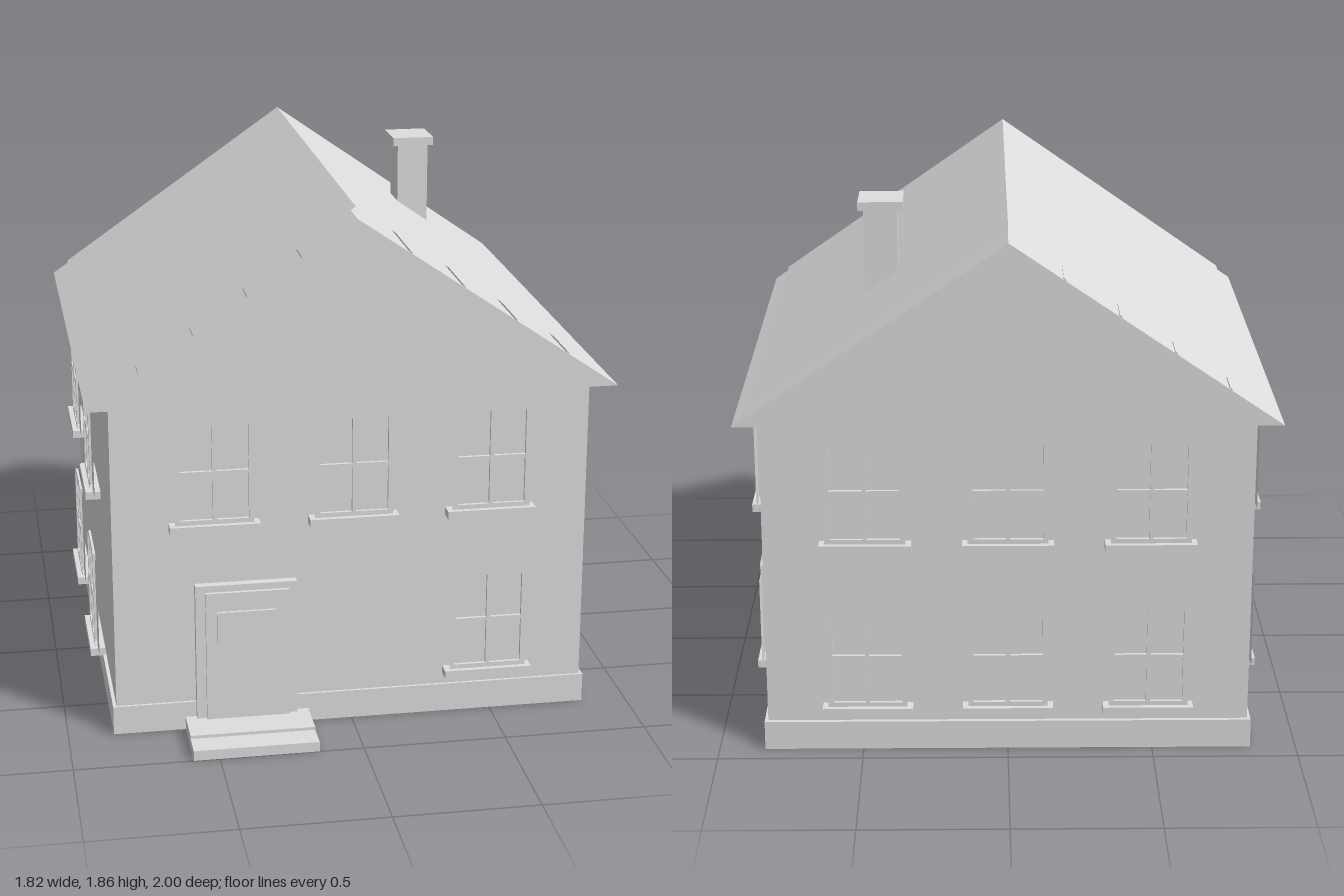
import * as THREE from 'three';

const plaster = new THREE.MeshStandardMaterial({ color: 0xdedede, side: THREE.DoubleSide });
plaster.name = 'plainGrey';

function add(parent, name, geometry) {
  const mesh = new THREE.Mesh(geometry, plaster);
  mesh.name = name;
  parent.add(mesh);
  return mesh;
}

// Box given by its limits on each axis
function box(parent, name, x0, x1, y0, y1, z0, z1) {
  const g = new THREE.BoxGeometry(x1 - x0, y1 - y0, z1 - z0);
  g.translate((x0 + x1) / 2, (y0 + y1) / 2, (z0 + z1) / 2);
  return add(parent, name, g);
}

function rectangle(target, w, h) {
  target.moveTo(-w / 2, -h / 2);
  target.lineTo(w / 2, -h / 2);
  target.lineTo(w / 2, h / 2);
  target.lineTo(-w / 2, h / 2);
  target.closePath();
  return target;
}

// Window facing +z, its origin on the wall surface
function makeWindow() {
  const win = new THREE.Group();
  win.name = 'window';
  const w = 0.236, h = 0.336, back = 0.033, face = 0.045;

  const outline = rectangle(new THREE.Shape(), 0.272, 0.377);
  outline.holes.push(rectangle(new THREE.Path(), w, h));
  add(win, 'windowFrame', new THREE.ShapeGeometry(outline).translate(0, 0, face));
  add(win, 'pane', new THREE.PlaneGeometry(w, h).translate(0, 0, back));

  // Reveals between the pane and the frame
  for (const s of [-1, 1]) {
    add(win, 'sideReveal', new THREE.PlaneGeometry(face - back, h)
      .rotateY(-s * Math.PI / 2).translate(s * w / 2, 0, (face + back) / 2));
    add(win, 'endReveal', new THREE.PlaneGeometry(w, face - back)
      .rotateX(s * Math.PI / 2).translate(0, s * h / 2, (face + back) / 2));
    add(win, 'shutter', new THREE.PlaneGeometry(0.1, 0.34).translate(s * 0.205, 0, 0.038));
  }

  box(win, 'verticalBar', -0.007, 0.007, -h / 2, h / 2, back, face);
  box(win, 'horizontalBar', -w / 2, w / 2, -0.007, 0.007, back, face);
  box(win, 'sill', -0.155, 0.155, -0.212, -0.184, 0.01, 0.063);
  return win;
}

export function createModel() {
  const house = new THREE.Group();
  house.name = 'house';
  const front = 0.743, rear = -0.913, side = 0.83;

  // Walls and base
  box(house, 'foundation', -0.842, 0.842, 0, 0.103, -0.928, 0.753);
  box(house, 'walls', -side, side, 0.1, 1.21, rear, front);

  // Roof body with four narrow ribs on each slope
  const eave = 0.909, apex = 1.827, low = 1.208, lift = 0.007, rib = 0.004;
  const roofY = x => apex - (apex - low) * x / eave;
  const half = [];
  for (const x of [0.182, 0.364, 0.546, 0.728]) {
    for (const [dx, up] of [[-rib, 0], [-rib, lift], [rib, lift], [rib, 0]]) {
      half.push([x + dx, roofY(x + dx) + up]);
    }
  }
  half.push([eave, low]);
  const profile = new THREE.Shape([
    new THREE.Vector2(0, apex),
    ...half.map(([x, y]) => new THREE.Vector2(-x, y)),
    ...half.reverse().map(([x, y]) => new THREE.Vector2(x, y)),
  ]);
  add(house, 'roofBody', new THREE.ExtrudeGeometry(profile, { depth: 1.82, bevelEnabled: false })
    .translate(0, 0, -1.0));

  // Raised roof coverings
  for (const s of [-1, 1]) {
    const corners = [[0, 1.861, 0.785], [s * 0.855, 1.265, 0.785],
      [s * 0.855, 1.265, -0.963], [0, 1.861, -0.963]];
    const g = new THREE.BufferGeometry();
    g.setAttribute('position', new THREE.Float32BufferAttribute(corners.flat(), 3));
    g.setIndex(s > 0 ? [0, 1, 2, 0, 2, 3] : [0, 2, 1, 0, 3, 2]);
    g.computeVertexNormals();
    add(house, s > 0 ? 'leftRoofCovering' : 'rightRoofCovering', g);
  }

  // Chimney
  box(house, 'chimney', 0.373, 0.488, 1.4, 1.82, -0.502, -0.368);
  box(house, 'chimneyCap', 0.353, 0.506, 1.815, 1.846, -0.52, -0.354);

  // Door and steps
  box(house, 'doorFrame', -0.551, -0.197, 0.04, 0.543, front - 0.01, 0.773);
  box(house, 'door', -0.517, -0.226, 0.04, 0.519, 0.77, 0.786);
  box(house, 'doorPanel', -0.477, -0.273, 0.309, 0.451, 0.785, 0.797);
  box(house, 'lowerStep', -0.59, -0.155, 0, 0.036, 0.74, 1.0);
  box(house, 'upperStep', -0.59, -0.155, 0.03, 0.047, 0.74, 0.905);

  // Windows on all four walls
  const place = (x, y, z, turn) => {
    const win = makeWindow();
    win.position.set(x, y, z);
    win.rotation.y = turn;
    house.add(win);
  };
  for (const y of [0.359, 0.96]) {
    for (const x of [-0.481, 0, 0.481]) {
      if (y > 0.5 || x > 0.1) place(x, y, front, 0);
      place(x, y, rear, Math.PI);
    }
    for (const z of [0.252, -0.426]) {
      place(side, y, z, Math.PI / 2);
      place(-side, y, z, -Math.PI / 2);
    }
  }
  return house;
}
